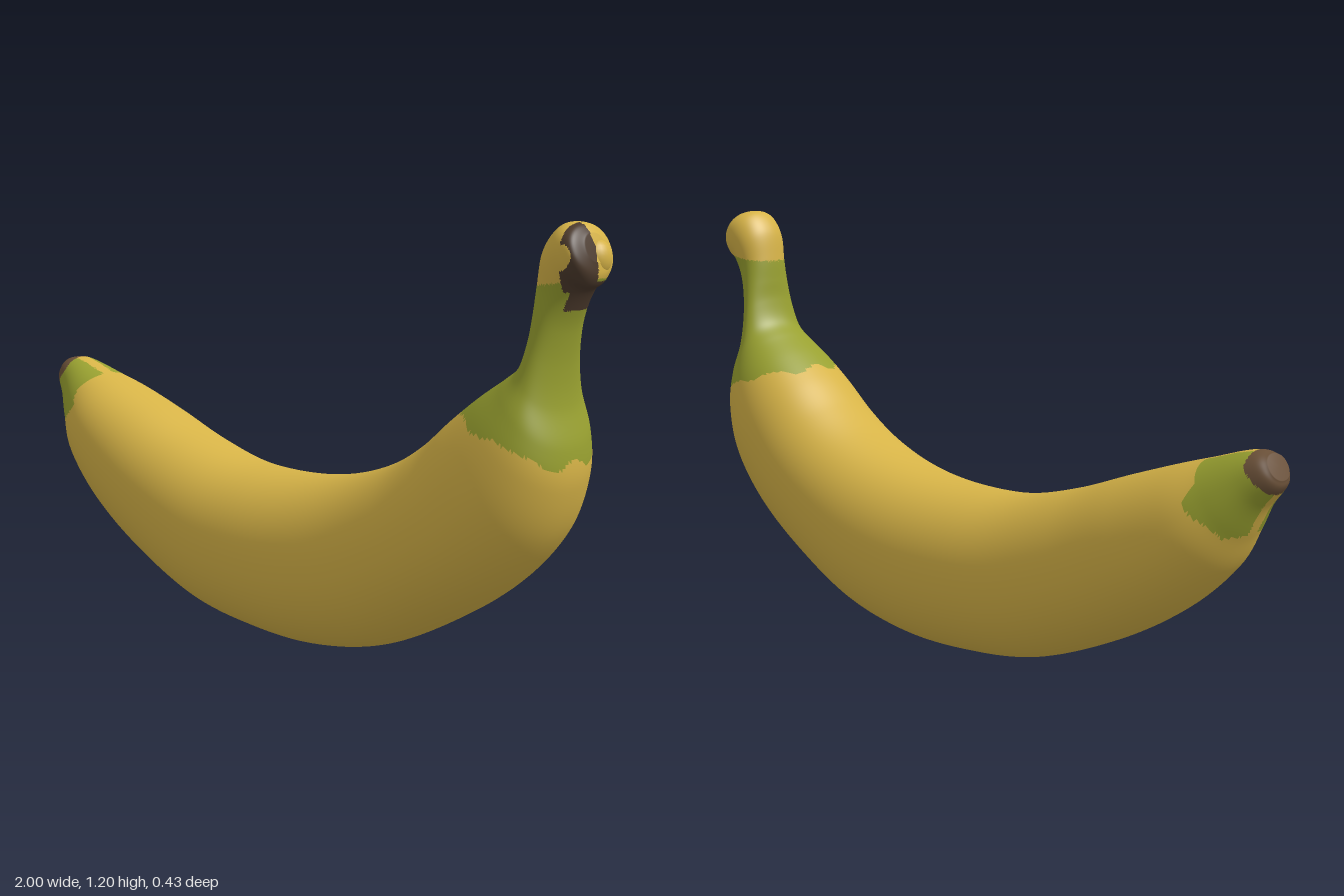
import * as THREE from 'three';

const materials = {};
for (const [name, color] of [
  ['ripeYellow', 0xd6b347], ['unripeGreen', 0x98a030],
  ['darkBrown', 0x4c3a2c], ['tipBrown', 0x6a5038],
]) {
  materials[name] = new THREE.MeshStandardMaterial({ color });
  materials[name].name = name;
}

// Cross-sections from blossom tip to stem: inner x, y, outer x, y, half width
const SECTIONS = [
  [-0.965, 0.685, -0.998, 0.625, 0.04],
  [-0.93, 0.69, -0.993, 0.6, 0.06],
  [-0.88, 0.68, -0.95, 0.545, 0.085],
  [-0.8, 0.655, -0.91, 0.47, 0.12],
  [-0.7, 0.625, -0.85, 0.37, 0.16],
  [-0.55, 0.575, -0.72, 0.25, 0.187],
  [-0.38, 0.515, -0.53, 0.135, 0.2],
  [-0.2, 0.47, -0.28, 0.035, 0.21],
  [-0.04, 0.46, -0.04, 0.003, 0.215],
  [0.13, 0.472, 0.18, 0.007, 0.217],
  [0.28, 0.505, 0.4, 0.06, 0.217],
  [0.42, 0.56, 0.62, 0.18, 0.216],
  [0.53, 0.63, 0.78, 0.3, 0.212],
  [0.62, 0.71, 0.89, 0.43, 0.2],
  [0.7, 0.775, 0.938, 0.56, 0.175],
  [0.77, 0.825, 0.94, 0.66, 0.143],
  [0.815, 0.865, 0.915, 0.76, 0.112],
  [0.835, 0.93, 0.912, 0.85, 0.092],
  [0.84, 0.99, 0.925, 0.94, 0.08],
  [0.845, 1.06, 0.945, 1.0, 0.076],
  [0.86, 1.14, 0.965, 1.04, 0.083],
  [0.9, 1.193, 0.985, 1.055, 0.086],
  [0.945, 1.197, 0.995, 1.08, 0.078],
  [0.97, 1.175, 0.993, 1.11, 0.04],
];
const ALONG = 230, AROUND = 96;

// Which coloured part of the skin a point belongs to
function partAt({ x, y, z }) {
  const az = Math.abs(z);
  if (x < -0.75) {
    if (y - 1.1 * x > 1.672 && x < -0.925) return 'blossomTip';
    const edge = -0.805 - 0.85 * Math.max(0, 0.57 - y) + 0.01 * Math.sin(y * 60);
    return x < edge && az > 0.02 && y > 0.48 ? 'tipGreen' : 'peel';
  }
  if (x > 0.55 && y > 0.55) {
    if (x > 0.915 && y > 0.995) {
      if (y < 1.065 && az < 0.05) return 'cutEnd';
      if (x > 0.938 && y > 1.04 && z > 0.008 && z < 0.082) return 'cutEnd';
    }
    if (y > 1.05 + 0.15 * (x - 0.85)) return 'stemCap';
    const wobble = 0.014 * Math.cos(z * 45) + 0.008 * Math.sin(x * 40);
    if (y + 0.34 * x > 0.945 + 0.1 * az + wobble) return 'neck';
  }
  return 'peel';
}

const PART_MATERIAL = {
  peel: 'ripeYellow', tipGreen: 'unripeGreen', blossomTip: 'tipBrown',
  neck: 'unripeGreen', stemCap: 'ripeYellow', cutEnd: 'darkBrown',
};

function buildSkin(group) {
  const spline = (f) => new THREE.CatmullRomCurve3(SECTIONS.map(f), false, 'catmullrom', 0.5);
  const inner = spline((s) => new THREE.Vector3(s[0], s[1], s[4]));
  const outer = spline((s) => new THREE.Vector3(s[2], s[3], 0));
  const round = (v) => Math.sign(v) * Math.abs(v) ** 0.93;
  const points = [];

  // Rings of slightly squared ellipses
  for (let i = 0; i <= ALONG; i++) {
    const a = inner.getPoint(i / ALONG), b = outer.getPoint(i / ALONG);
    for (let j = 0; j < AROUND; j++) {
      const t = (j / AROUND) * Math.PI * 2;
      const k = (round(Math.cos(t)) + 1) / 2;
      points.push(new THREE.Vector3(
        b.x + (a.x - b.x) * k, b.y + (a.y - b.y) * k, round(Math.sin(t)) * a.z));
    }
  }
  const first = points.length, last = first + 1;
  for (const s of [SECTIONS[0], SECTIONS[SECTIONS.length - 1]]) {
    points.push(new THREE.Vector3((s[0] + s[2]) / 2, (s[1] + s[3]) / 2, 0));
  }

  // Faces sorted by part
  const all = [], parts = {};
  const face = (a, b, c) => {
    const mid = points[a].clone().add(points[b]).add(points[c]).divideScalar(3);
    (parts[partAt(mid)] ??= []).push(a, b, c);
    all.push(a, b, c);
  };
  for (let j = 0; j < AROUND; j++) {
    const n = (j + 1) % AROUND, end = ALONG * AROUND;
    for (let i = 0; i < ALONG; i++) {
      const r = i * AROUND, s = r + AROUND;
      face(r + j, r + n, s + j);
      face(r + n, s + n, s + j);
    }
    face(first, n, j);
    face(last, end + j, end + n);
  }

  // Shared normals keep the skin smooth across colour borders
  const whole = new THREE.BufferGeometry().setFromPoints(points);
  whole.setIndex(all);
  whole.computeVertexNormals();
  for (const [name, index] of Object.entries(parts)) {
    const geometry = new THREE.BufferGeometry();
    geometry.setAttribute('position', whole.getAttribute('position'));
    geometry.setAttribute('normal', whole.getAttribute('normal'));
    geometry.setIndex(index);
    const mesh = new THREE.Mesh(geometry, materials[PART_MATERIAL[name]]);
    mesh.name = name;
    group.add(mesh);
  }
}

export function createModel() {
  const group = new THREE.Group();
  group.name = 'banana';
  buildSkin(group);

  // Rounded knob on the cut end of the stem
  const knob = new THREE.Mesh(new THREE.SphereGeometry(1, 24, 16), materials.ripeYellow);
  knob.name = 'stemKnob';
  knob.scale.set(0.034, 0.045, 0.042);
  knob.position.set(0.966, 1.115, -0.025);
  group.add(knob);
  return group;
}
